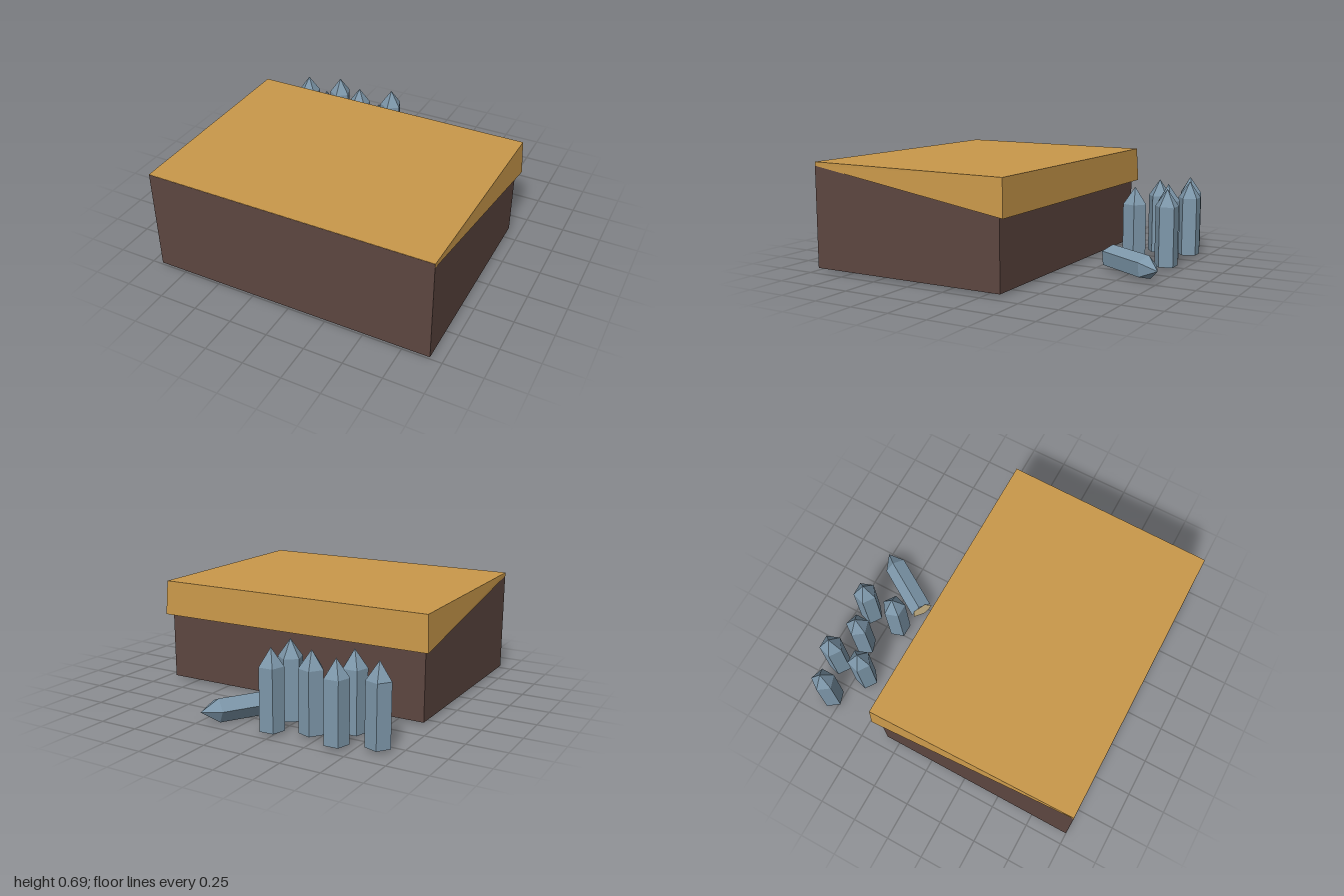
import * as THREE from 'three';

const flat = (name, color) => new THREE.MeshStandardMaterial({ name, color, flatShading: true });

export function createModel() {
  const brown = flat('dark brown', 0x5d4640);
  const ochre = flat('ochre', 0xc9984a);
  const slate = flat('blue grey', 0x7d97aa);
  const tan = flat('tan', 0xd2bd8c);

  const model = new THREE.Group();
  const add = (parent, name, geometry, material) => {
    const mesh = new THREE.Mesh(geometry, material);
    mesh.name = name;
    parent.add(mesh);
    return mesh;
  };

  // Moves the corners of a unit box by a rule
  const shapedBox = (rule) => {
    const geo = new THREE.BoxGeometry(1, 1, 1);
    const p = geo.attributes.position;
    for (let i = 0; i < p.count; i++) {
      p.setXYZ(i, ...rule(Math.sign(p.getX(i)), p.getY(i) > 0, p.getZ(i) > 0));
    }
    geo.computeVertexNormals();
    return geo;
  };

  // Box body, its top dropping slightly to the back
  add(model, 'boxBody', shapedBox((side, top, front) => [
    side * 0.925,
    top ? (front ? 0.688 : 0.66) : 0.015,
    front ? 1 : -0.34,
  ]), brown);

  // Wedge lid, deep and flared at the back, thin at the front
  add(model, 'lid', shapedBox((side, top, front) => front
    ? [side * 0.926, top ? 0.69 : 0.665, 0.999]
    : [side * (top ? 0.945 : 0.957), top ? 0.68 : 0.452, top ? -0.37 : -0.38]), ochre);

  // Five-sided post with a pointed tip, standing on its base
  const R = 0.077, BODY = 0.385, TIP = 0.11;
  const bodyGeo = new THREE.CylinderGeometry(R, R, BODY, 5, 1, true).translate(0, BODY / 2, 0);
  const tipGeo = new THREE.ConeGeometry(R, TIP, 5, 1, true).translate(0, BODY + TIP / 2, 0);
  // The base disc is turned so that its corners meet the body
  const baseGeo = new THREE.CircleGeometry(R, 5).rotateZ(-Math.PI / 2).rotateX(Math.PI / 2);
  const post = (name, spin) => {
    const outer = new THREE.Group();
    const inner = new THREE.Group();
    outer.name = name;
    inner.rotation.y = spin;
    add(inner, 'postBody', bodyGeo, slate);
    add(inner, 'postTip', tipGeo, slate);
    add(inner, 'postBase', baseGeo, tan);
    outer.add(inner);
    model.add(outer);
    return outer;
  };

  // Standing posts: x, z, turn
  const Q = -Math.PI / 2;
  [
    [-0.862, -0.81, Q], [-0.638, -0.887, 0.03], [-0.438, -0.81, Q],
    [-0.216, -0.887, 0.03], [-0.638, -0.673, 0.03], [-0.211, -0.67, Math.PI],
  ].forEach(([x, z, spin], i) => post(`standingPost${i + 1}`, spin).position.set(x, 0.015, z));

  // Fallen post lying on the ground
  const fallen = post('fallenPost', THREE.MathUtils.degToRad(-13));
  const axis = new THREE.Vector3(0.524, 0, -0.852).normalize();
  const across = new THREE.Vector3(-axis.z, 0, axis.x);
  const up = new THREE.Vector3(0, 1, 0);
  fallen.quaternion.setFromRotationMatrix(new THREE.Matrix4().makeBasis(across, axis, up));
  fallen.position.set(-0.048, 0.076, -0.577);

  return model;
}
